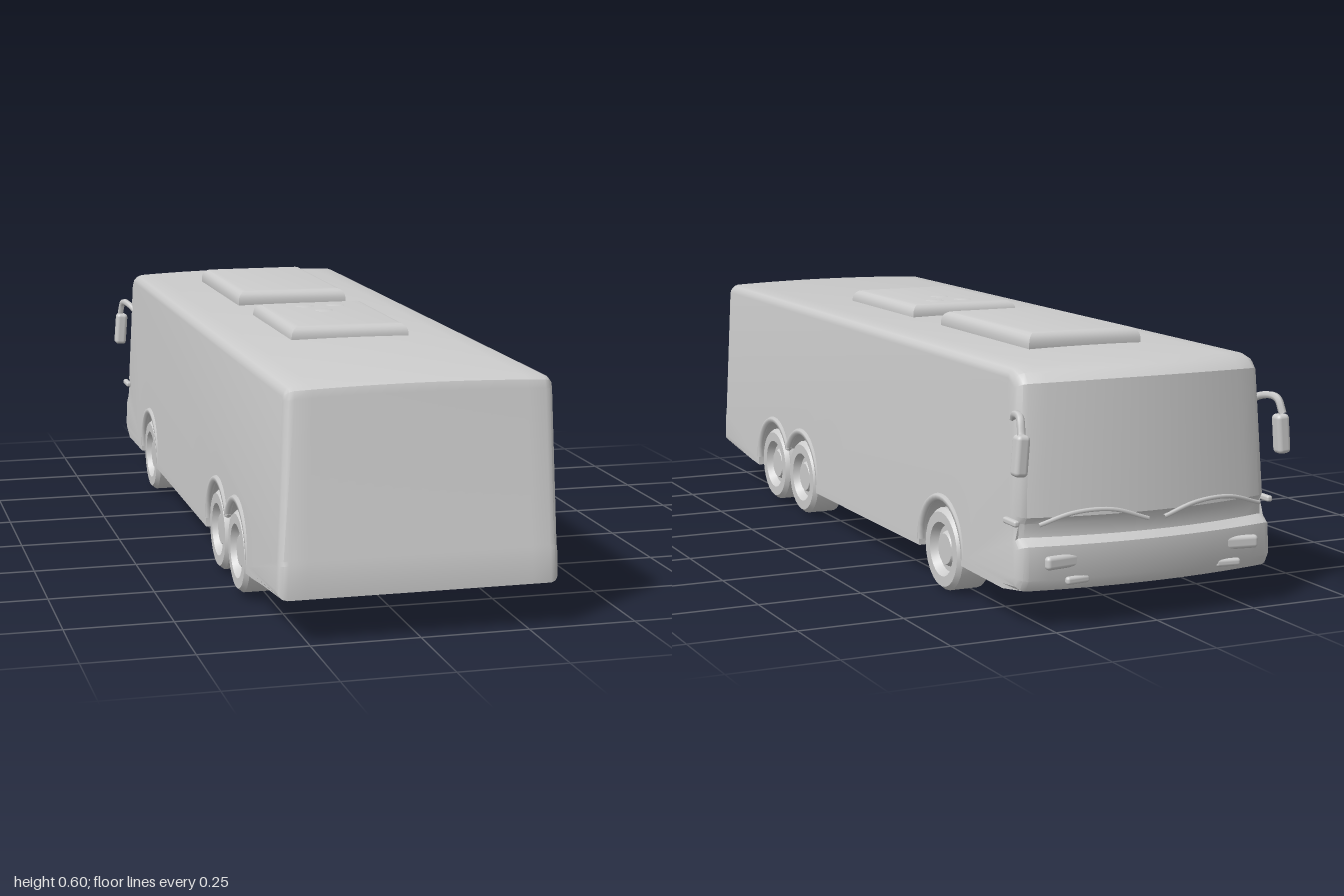
import * as THREE from 'three';
import { toCreasedNormals } from 'three/addons/utils/BufferGeometryUtils.js';
import { RoundedBoxGeometry } from 'three/addons/geometries/RoundedBoxGeometry.js';

const HALF = 0.322; // half width at the sills
const ARCH = 0.118; // wheel arch radius
const AXLES = [{ z: -0.55, y: 0.102 }, { z: 0.36, y: 0.11 }, { z: 0.57, y: 0.11 }];

export function createModel() {
  const group = new THREE.Group();
  group.name = 'bus';
  const mat = new THREE.MeshStandardMaterial({ color: 0xcccccc });
  const add = (name, geo, x = 0, y = 0, z = 0) => {
    const mesh = new THREE.Mesh(geo, mat);
    mesh.name = name;
    mesh.position.set(x, y, z);
    group.add(mesh);
    return mesh;
  };
  const tube = (pts, r) => new THREE.TubeGeometry(
    new THREE.CatmullRomCurve3(pts.map((p) => new THREE.Vector3(...p))), 20, r, 6);

  add('body', bodyGeometry());

  // Chassis between the wheels, with a lower belly at the axles
  add('chassis', new THREE.BoxGeometry(0.42, 0.17, 1.6), 0, 0.175, 0);
  const belly = new THREE.Shape([[-0.17, 0.1], [-0.12, 0.078], [-0.07, 0.066], [0.07, 0.066],
    [0.12, 0.078], [0.17, 0.1]].map((p) => new THREE.Vector2(...p)));
  for (const [z, len] of [[-0.68, 0.26], [0.25, 0.43]]) {
    add('axleBelly', new THREE.ExtrudeGeometry(belly, { depth: len, bevelEnabled: false }), 0, 0, z);
  }

  // Wheels and arch lips
  const profile = [[0, -0.045], [0.085, -0.045], [0.097, -0.036], [0.097, 0.034], [0.088, 0.045],
    [0.064, 0.045], [0.054, 0.026], [0.042, 0.026], [0.036, 0.036], [0, 0.036]]
    .map((p) => new THREE.Vector2(...p));
  const wheel = toCreasedNormals(new THREE.LatheGeometry(profile, 24), 0.5);
  for (const side of [1, -1]) {
    AXLES.forEach(({ z, y }, i) => {
      add('wheel', wheel, side * 0.273, y, z).rotation.z = -side * Math.PI / 2;
      // The two rear arches meet, so each lip stops short on its inner side
      const start = i === 2 ? Math.PI - 0.5 : Math.PI;
      const from = i === 1 ? 0.5 : 0;
      const lip = new THREE.TorusGeometry(ARCH + 0.005, 0.009, 6, 20, start - from);
      lip.rotateZ(from);
      lip.rotateY(-Math.PI / 2);
      add('archLip', lip, side * 0.315, y, z);
    });
  }

  // Rooftop units
  const roofUnit = (name, z0, z1, h) => {
    const b = 0.024, w = 0.121;
    const s = new THREE.Shape([[-w, -z1 + b], [w, -z1 + b], [w, -z0 - b], [-w, -z0 - b]]
      .map((p) => new THREE.Vector2(...p)));
    const geo = new THREE.ExtrudeGeometry(s, {
      depth: 0.02, bevelEnabled: true, bevelSize: b, bevelThickness: b, bevelSegments: 4,
    });
    geo.rotateX(-Math.PI / 2);
    add(name, toCreasedNormals(geo, 0.6), 0, h - 0.02 - b, 0);
  };
  roofUnit('frontRoofUnit', -0.655, -0.17, 0.609);
  roofUnit('rearRoofUnit', 0, 0.41, 0.604);
  for (const [x, z] of [[-0.03, 0.08], [0.05, 0.08], [0.0, 0.16]]) {
    const fan = new THREE.SphereGeometry(0.025, 14, 6, 0, Math.PI * 2, 0, Math.PI / 2);
    fan.scale(1, 0.12, 1);
    add('roofFan', fan, x, 0.603, z);
  }

  // Mirrors, lamps and wipers at the driving end
  for (const side of [1, -1]) {
    add('mirrorArm', tube([[side * 0.295, 0.455, -0.88], [side * 0.312, 0.475, -0.92],
      [side * 0.322, 0.474, -0.965], [side * 0.327, 0.44, -0.982]], 0.009));
    const mirror = add('mirror', new RoundedBoxGeometry(0.032, 0.09, 0.034, 3, 0.01),
      side * 0.327, 0.395, -0.977);
    mirror.rotation.z = side * 0.08;
    add('headlight', new RoundedBoxGeometry(0.085, 0.03, 0.02, 3, 0.009),
      side * 0.225, 0.155, -0.976).rotation.y = side * 0.14;
    add('fogLight', new RoundedBoxGeometry(0.06, 0.018, 0.016, 2, 0.007),
      side * 0.19, 0.113, -0.982).rotation.y = side * 0.12;
    add('sideMarker', new RoundedBoxGeometry(0.014, 0.014, 0.06, 2, 0.005), side * 0.32, 0.24, -0.92);
  }
  const wiper = (x0, x1) => tube([0, 0.35, 0.7, 1].map((t) => {
    const x = x0 + (x1 - x0) * t;
    return [x, 0.235 + 0.03 * Math.sin(t * Math.PI), -0.991 + 0.05 * (x / HALF) ** 2];
  }), 0.005);
  add('wiperLeft', wiper(0.02, 0.27));
  add('wiperRight', wiper(-0.29, -0.02));
  return group;
}

// Side profile with wheel arches, extruded across the width, then tapered and bowed
function bodyGeometry() {
  const s = new THREE.Shape();
  s.moveTo(-0.9, 0.085);
  for (const { z, y } of AXLES) {
    const drop = y - 0.088;
    const a = Math.asin(drop / ARCH);
    // Neighbouring rear arches share a narrow web
    const meet = Math.acos(0.102 / ARCH);
    const a0 = z === 0.57 ? Math.PI - meet : Math.PI + a;
    const a1 = z === 0.36 ? meet : -a;
    for (let i = 0; i <= 20; i++) {
      const t = a0 + (a1 - a0) * i / 20;
      s.lineTo(z + ARCH * Math.cos(t), y + ARCH * Math.sin(t));
    }
  }
  for (const p of [[0.75, 0.093], [0.998, 0.108], [1, 0.185], [0.996, 0.195], [0.988, 0.55],
    [0.982, 0.568], [0.965, 0.576], [-0.88, 0.574], [-0.94, 0.566], [-0.966, 0.545], [-0.975, 0.4],
    [-0.985, 0.25], [-0.975, 0.235], [-0.975, 0.205], [-0.993, 0.19], [-0.995, 0.115],
    [-0.98, 0.09]]) s.lineTo(...p);
  s.closePath();

  const t = 0.022;
  const geo = new THREE.ExtrudeGeometry(s, {
    depth: 2 * (HALF - t), steps: 14, bevelEnabled: true,
    bevelThickness: t, bevelSize: t, bevelOffset: -t, bevelSegments: 3,
  });
  geo.translate(0, 0, t - HALF);
  geo.rotateY(-Math.PI / 2);
  const p = geo.attributes.position;
  for (let i = 0; i < p.count; i++) {
    let x = p.getX(i), y = p.getY(i), z = p.getZ(i);
    // Square edges along the sills and arches
    if (y < 0.3 && Math.abs(z) < 0.94 && Math.abs(x) > 0.29) x = Math.sign(x) * HALF;
    const q = (x / HALF) ** 2;
    // Bowed windscreen, cambered roof, walls leaning inwards
    const bow = THREE.MathUtils.clamp((-z - 0.85) / 0.1, 0, 1);
    z += bow * q * (y < 0.2 ? 0.035 : 0.048);
    if (y > 0.5) y -= 0.007 * q;
    x *= 1 - 0.14 * Math.max(0, y - 0.1);
    p.setXYZ(i, x, y, z);
  }
  return toCreasedNormals(geo, 0.6);
}
